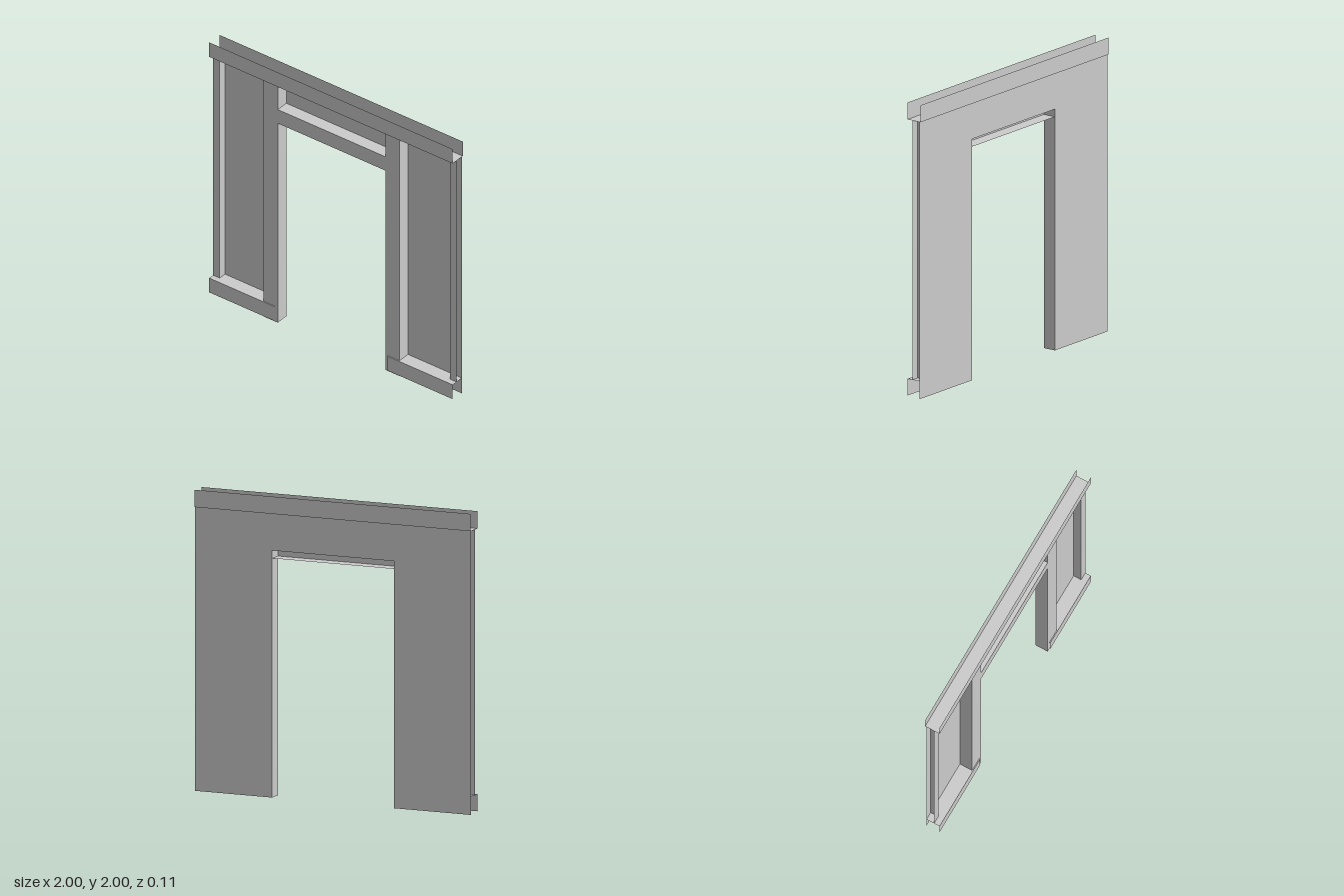
import * as THREE from 'three';

const material = new THREE.MeshStandardMaterial({
  color: 0xcccccc, flatShading: true, side: THREE.DoubleSide,
});

const TRACK_Z = 0.054;   // outer faces of the tracks
const POST_Z = 0.047;    // front of posts and header
const SHEET_Z = -0.044;  // back sheet
const TOP_Y = 1.885;     // underside of the top track
const DOOR_X = 0.442;    // half width of the doorway

// Sheet metal: an open cross-section swept straight from start to end.
// place(u, v, t) turns section point (u, v) and sweep position t into x, y, z.
function foldedSheet(name, section, start, end, place) {
  const positions = [];
  for (let i = 0; i < section.length - 1; i++) {
    const [p, q] = [section[i], section[i + 1]];
    const a = place(...p, start), b = place(...q, start);
    const c = place(...q, end), d = place(...p, end);
    positions.push(...a, ...b, ...c, ...a, ...c, ...d);
  }
  const geometry = new THREE.BufferGeometry();
  geometry.setAttribute('position', new THREE.Float32BufferAttribute(positions, 3));
  geometry.computeVertexNormals();
  const mesh = new THREE.Mesh(geometry, material);
  mesh.name = name;
  return mesh;
}

// Sections given as (y, z) run along x; sections given as (x, z) run up y.
const alongX = (y, z, t) => [t, y, z];
const alongY = (x, z, t) => [x, t, z];

export function createModel() {
  const group = new THREE.Group();
  group.name = 'doorwayWallFrame';

  // Back sheet with the doorway cut out
  const outline = new THREE.Shape();
  [[-1, 0], [-DOOR_X, 0], [-DOOR_X, 1.64], [DOOR_X, 1.64], [DOOR_X, 0], [1, 0], [1, TOP_Y], [-1, TOP_Y]]
    .forEach(([x, y], i) => (i ? outline.lineTo(x, y) : outline.moveTo(x, y)));
  outline.closePath();
  const sheet = new THREE.Mesh(new THREE.ShapeGeometry(outline), material);
  sheet.name = 'backSheet';
  sheet.position.z = SHEET_Z;
  group.add(sheet);

  // Top track: channel open upwards
  group.add(foldedSheet('topTrack',
    [[2, TRACK_Z], [TOP_Y, TRACK_Z], [TOP_Y, -TRACK_Z], [2, -TRACK_Z]], -1, 1, alongX));

  // Header over the doorway, open at the back
  group.add(foldedSheet('header',
    [[1.698, SHEET_Z], [1.698, POST_Z], [1.588, POST_Z], [1.588, SHEET_Z]], -DOOR_X, DOOR_X, alongX));

  for (const [side, s] of [['left', 1], ['right', -1]]) {
    // Door post
    group.add(foldedSheet(side + 'DoorPost',
      [[s * DOOR_X, SHEET_Z], [s * DOOR_X, POST_Z], [s * 0.558, POST_Z], [s * 0.558, SHEET_Z]],
      0, TOP_Y, alongY));

    // Shallow edge stud, open towards the outside
    group.add(foldedSheet(side + 'EdgeStud',
      [[s * 0.945, SHEET_Z], [s * 0.945, 0.013], [s, 0.013]], 0.122, TOP_Y, alongY));

    // Bottom track: ledge behind, flange hanging in front
    group.add(foldedSheet(side + 'BottomLedge',
      [[0.122, SHEET_Z], [0.122, TRACK_Z]], s * 0.558, s, alongX));
    group.add(foldedSheet(side + 'BottomFlange',
      [[0.122, POST_Z], [0.122, TRACK_Z], [0.008, TRACK_Z]], s * 0.463, s, alongX));
  }
  return group;
}
